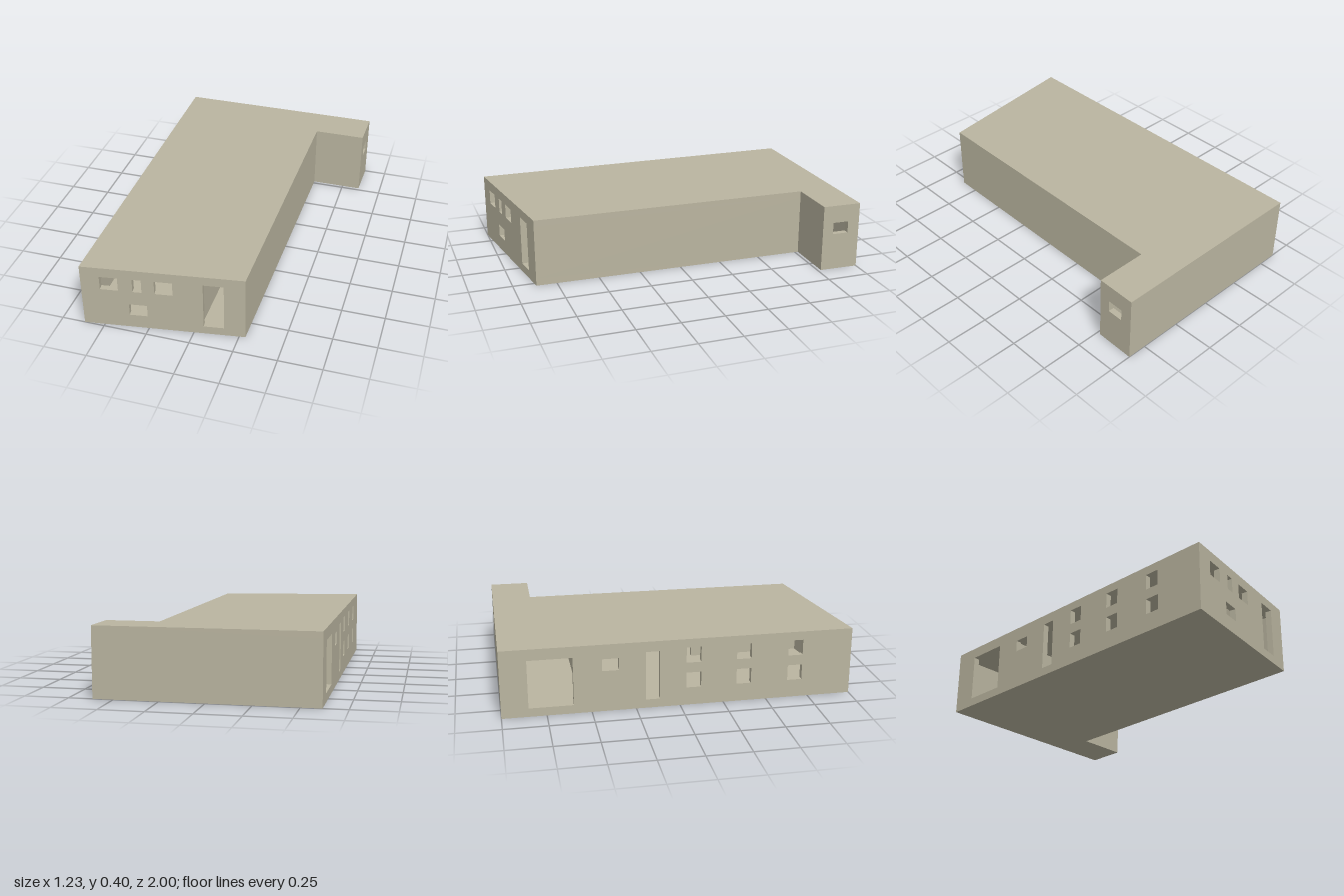
import * as THREE from 'three';

const H = 0.395, FLOOR = 0.045, CEIL = 0.36, T = 0.035;
const material = new THREE.MeshStandardMaterial({ color: 0xbab5a0, flatShading: true });

// Footprint corners (x, z), counter-clockwise from above, starting front right
const plan = [[-0.615, 1], [0.285, 0.87], [0.305, -0.77], [0.61, -0.77], [0.615, -1], [-0.615, -1]];
const names = ['frontWall', 'leftWall', 'wingFrontWall', 'wingEndWall', 'backWall', 'rightWall'];

// Openings per wall: [start, end, bottom, top], measured along the wall
const c = Math.cos(Math.atan2(0.13, 0.9));
const along = (x0, x1, y0, y1) => [(x0 + 0.615) / c, (x1 + 0.615) / c, y0, y1];
const openings = {
  frontWall: [
    along(-0.51, -0.41, 0.25, 0.335), along(-0.33, -0.28, 0.25, 0.335),
    along(-0.21, -0.11, 0.25, 0.335), along(-0.355, -0.255, 0.085, 0.16),
    along(0.055, 0.168, 0.05, 0.34),
  ],
  wingEndWall: [[0.065, 0.16, 0.22, 0.29]],
  rightWall: [[0.15, 0.4, 0.05, 0.33], [0.56, 0.655, 0.24, 0.31], [0.805, 0.885, 0.05, 0.335]],
};
for (const s of [1.035, 1.325, 1.625]) {
  openings.rightWall.push([s, s + 0.085, 0.255, 0.345], [s, s + 0.085, 0.105, 0.195]);
}

function rectangle(path, x0, x1, y0, y1) {
  path.moveTo(x0, y0);
  path.lineTo(x1, y0);
  path.lineTo(x1, y1);
  path.lineTo(x0, y1);
  path.closePath();
  return path;
}

const heading = (i) => {
  const n = plan.length, [ax, az] = plan[(i + n) % n], [bx, bz] = plan[(i + 1 + n) % n];
  return Math.atan2(az - bz, bx - ax);
};
// Inner setback at the corner between two walls
const mitre = (i) => {
  const d = heading(i) - heading(i - 1);
  return T * Math.tan(Math.atan2(Math.sin(d), Math.cos(d)) / 2);
};

// Wall panel with openings, its inner face mitred to meet its neighbours
function wall(i) {
  const [ax, az] = plan[i], [bx, bz] = plan[(i + 1) % plan.length];
  const length = Math.hypot(bx - ax, bz - az);
  const shape = rectangle(new THREE.Shape(), 0, length, FLOOR, CEIL);
  for (const o of openings[names[i]] || []) shape.holes.push(rectangle(new THREE.Path(), ...o));
  const geometry = new THREE.ExtrudeGeometry(shape, { depth: T, bevelEnabled: false });
  geometry.translate(0, 0, -T);
  const p = geometry.attributes.position;
  for (let k = 0; k < p.count; k++) {
    if (p.getZ(k) > -T / 2) continue;
    if (p.getX(k) < 1e-4) p.setX(k, mitre(i));
    else if (p.getX(k) > length - 1e-4) p.setX(k, length - mitre((i + 1) % plan.length));
  }
  geometry.computeVertexNormals();
  const mesh = new THREE.Mesh(geometry, material);
  mesh.name = names[i];
  mesh.position.set(ax, 0, az);
  mesh.rotation.y = heading(i);
  return mesh;
}

// Flat slab covering the whole footprint
function slab(name, y0, y1) {
  const shape = new THREE.Shape(plan.map(([x, z]) => new THREE.Vector2(x, -z)));
  const geometry = new THREE.ExtrudeGeometry(shape, { depth: y1 - y0, bevelEnabled: false });
  geometry.rotateX(-Math.PI / 2);
  const mesh = new THREE.Mesh(geometry, material);
  mesh.name = name;
  mesh.position.y = y0;
  return mesh;
}

function partition(name, x0, x1, z0, z1) {
  const mesh = new THREE.Mesh(new THREE.BoxGeometry(x1 - x0, CEIL - FLOOR, z1 - z0), material);
  mesh.name = name;
  mesh.position.set((x0 + x1) / 2, (FLOOR + CEIL) / 2, (z0 + z1) / 2);
  return mesh;
}

export function createModel() {
  const group = new THREE.Group();
  group.name = 'building';
  group.add(slab('floorSlab', 0, FLOOR), slab('roofSlab', CEIL, H));
  plan.forEach((_, i) => group.add(wall(i)));

  // Interior walls: rear room divider and entrance hall side
  group.add(
    partition('rearPartition', -0.59, 0.28, -0.56, -0.53),
    partition('hallPartition', 0.01, 0.04, 0.2, 0.88),
  );
  return group;
}
